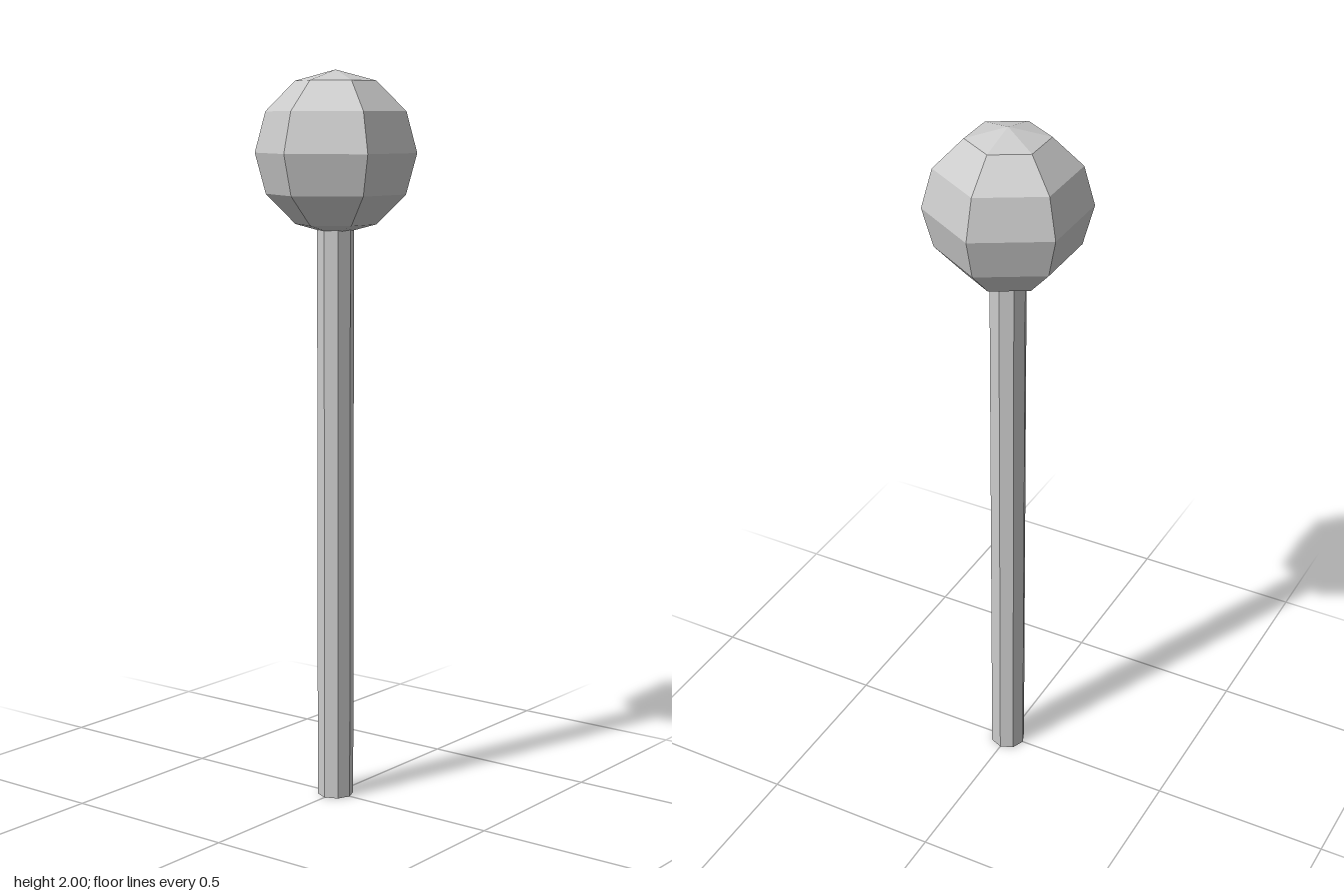
import * as THREE from 'three';

export function createModel() {
  const group = new THREE.Group();
  const material = new THREE.MeshStandardMaterial({ color: 0xcccccc, flatShading: true });

  const headRadius = 0.219;
  const stickRadius = 0.05;
  const stickHeight = 1.6; // ends just inside the head

  // Eight-sided stick standing on the ground
  const stick = new THREE.Mesh(
    new THREE.CylinderGeometry(stickRadius, stickRadius, stickHeight, 8), material);
  stick.name = 'stick';
  stick.position.y = stickHeight / 2;
  group.add(stick);

  // Faceted ball on top, six sides around and six bands high
  const head = new THREE.Mesh(new THREE.SphereGeometry(headRadius, 6, 6), material);
  head.name = 'ballHead';
  head.position.y = 2 - headRadius;
  group.add(head);

  return group;
}
